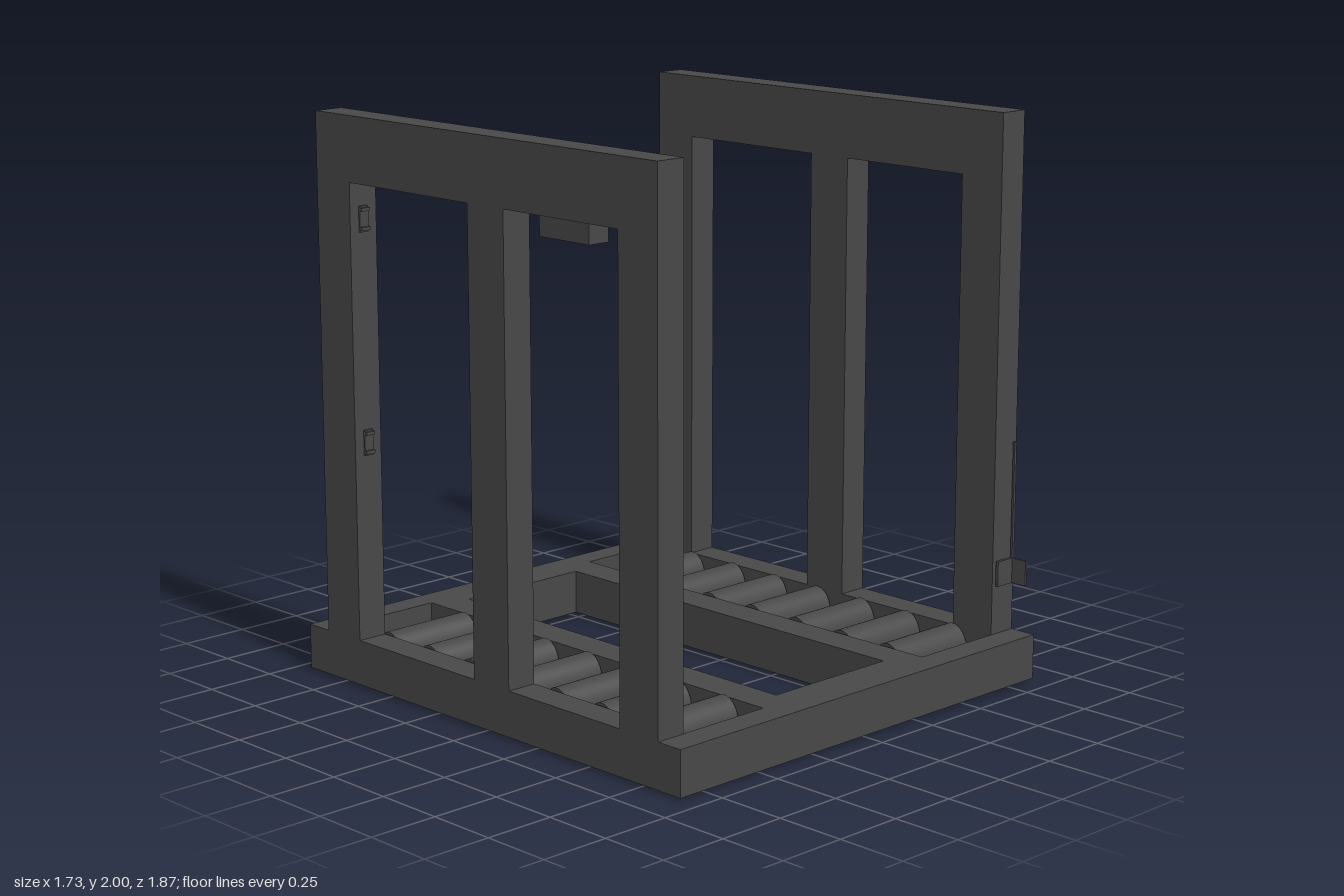
import * as THREE from 'three';

const frameMat = new THREE.MeshStandardMaterial({ color: 0x484848 });
frameMat.name = 'dark grey';

// Rectangle from two corners, as a Shape or a hole Path
function rect(Type, x0, y0, x1, y1) {
  return new Type([[x0, y0], [x1, y0], [x1, y1], [x0, y1]].map(([x, y]) => new THREE.Vector2(x, y)));
}

// Rectangular panel with rectangular openings, extruded along +z
function panel(outer, openings, depth) {
  const shape = rect(THREE.Shape, ...outer);
  openings.forEach((o) => shape.holes.push(rect(THREE.Path, ...o)));
  return new THREE.ExtrudeGeometry(shape, { depth, bevelEnabled: false });
}

function add(parent, name, geometry, x = 0, y = 0, z = 0) {
  const mesh = new THREE.Mesh(geometry, frameMat);
  mesh.name = name;
  mesh.position.set(x, y, z);
  parent.add(mesh);
  return mesh;
}

// Box given by its minimum and maximum corners
function box(parent, name, [x0, y0, z0], [x1, y1, z1]) {
  return add(parent, name, new THREE.BoxGeometry(x1 - x0, y1 - y0, z1 - z0),
    (x0 + x1) / 2, (y0 + y1) / 2, (z0 + z1) / 2);
}

function createModel() {
  const model = new THREE.Group();
  model.name = 'rollerGate';

  // Base frame: two roller bays and a central opening (shape y becomes -z)
  const base = panel([-0.865, -0.93, 0.865, 0.935], [
    [-0.753, -0.828, -0.39, 0.838],
    [0.39, -0.828, 0.753, 0.838],
    [-0.263, -0.765, 0.263, 0.777],
  ], 0.16).rotateX(-Math.PI / 2);
  add(model, 'baseFrame', base, 0, 0.01, 0);

  // Side frames: two tall openings each (shape x becomes -z)
  const side = panel([-0.83, 0.17, 0.83, 2], [
    [-0.655, 0.171, -0.125, 1.773],
    [0.05, 0.171, 0.655, 1.773],
  ], 0.112).rotateY(Math.PI / 2);
  add(model, 'leftSideFrame', side, 0.753, 0, 0);
  add(model, 'rightSideFrame', side, -0.865, 0, 0);

  // Rollers with axles, slightly taller than deep
  const roller = new THREE.CylinderGeometry(0.089, 0.089, 0.347, 32).rotateZ(Math.PI / 2).scale(1, 1, 0.745);
  const axle = new THREE.CylinderGeometry(0.05, 0.05, 0.366, 24).rotateZ(Math.PI / 2).scale(1, 1, 0.745);
  for (const s of [-1, 1]) {
    const row = new THREE.Group();
    row.name = s > 0 ? 'leftRollers' : 'rightRollers';
    model.add(row);
    for (let i = -3; i <= 3; i++) {
      const z = 0.01 + i * 0.217;
      add(row, 'roller', roller, s * 0.573, 0.09, z);
      add(row, 'axle', axle, s * 0.572, 0.09, z);
    }
  }

  // Small brackets on the facing sides of the right frame's outer posts
  for (const s of [-1, 1]) {
    for (const y of [0.87, 1.645]) {
      const bracket = new THREE.Group();
      bracket.name = 'postBracket';
      bracket.position.set(-0.81, y, s * 0.655);
      if (s > 0) bracket.rotation.y = Math.PI;
      model.add(bracket);
      box(bracket, 'bracketPlate', [-0.018, -0.045, 0], [0.018, 0.045, 0.007]);
      for (const t of [-1, 1]) {
        box(bracket, 'bracketLug', [-0.018, t * 0.033 - 0.006, 0], [0.018, t * 0.033 + 0.006, 0.017]);
      }
    }
  }

  // Box hung under the right top beam
  box(model, 'beamBox', [-0.85, 1.703, 0.28], [-0.768, 1.773, 0.51]);

  // L-shaped bracket and thin rod on the front of the left frame
  box(model, 'angleBack', [0.765, 0.345, 0.834], [0.848, 0.435, 0.845]);
  box(model, 'angleSide', [0.84, 0.345, 0.834], [0.848, 0.435, 0.905]);
  box(model, 'rod', [0.838, 0.435, 0.838], [0.848, 0.85, 0.846]);

  return model;
}

export { createModel };
